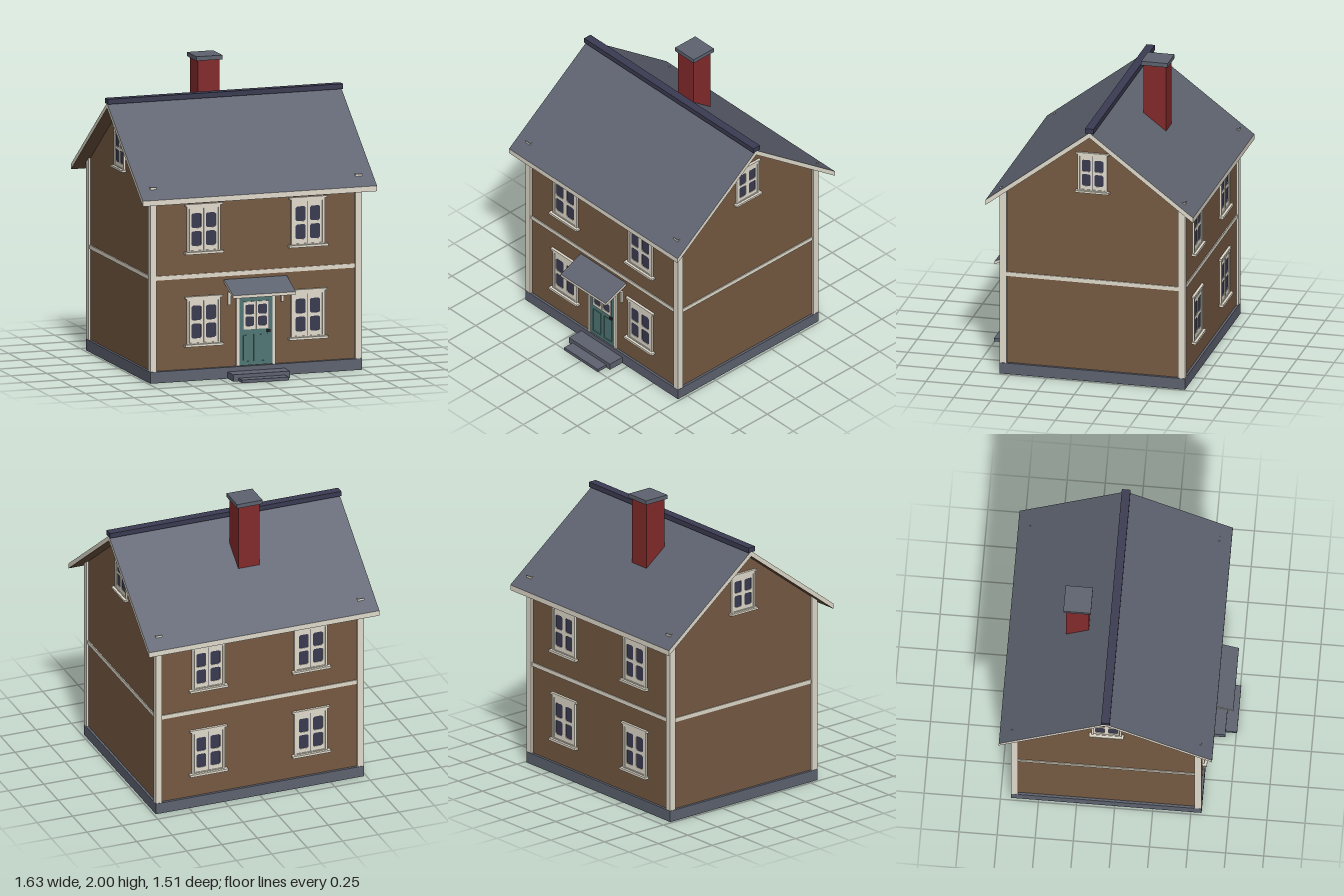
import * as THREE from 'three';

const mat = (name, color) => new THREE.MeshStandardMaterial({ name, color });

export function createModel() {
  const brown = mat('brown cladding', 0x765a42);
  const cream = mat('cream trim', 0xe2dccd);
  const slate = mat('slate grey', 0x5e6370);
  slate.side = THREE.DoubleSide;
  const navy = mat('dark navy', 0x3b3b52);
  const teal = mat('teal door', 0x4f7774);
  const red = mat('red brick', 0x842a2b);
  const dark = mat('dark metal', 0x2a2422);

  const model = new THREE.Group();
  model.name = 'house';
  // The house body is centred slightly behind the origin, the steps reach forward
  const body = new THREE.Group();
  body.name = 'houseBody';
  body.position.z = -0.055;
  model.add(body);

  const add = (parent, name, geo, material, x = 0, y = 0, z = 0) => {
    const m = new THREE.Mesh(geo, material);
    m.name = name;
    m.position.set(x, y, z);
    parent.add(m);
    return m;
  };
  const box = (parent, name, material, w, h, d, x, y, z) =>
    add(parent, name, new THREE.BoxGeometry(w, h, d), material, x, y, z);

  // Box without one face (2 = top, 3 = bottom)
  const openBox = (w, h, d, face) => {
    const g = new THREE.BoxGeometry(w, h, d);
    const index = Array.from(g.index.array);
    index.splice(face * 6, 6);
    g.setIndex(index);
    g.clearGroups();
    return g;
  };

  // Sheared slab: back edge at z = 0 and y = 0, front edge lowered by drop
  const slab = (w, t, d, drop) => {
    const g = new THREE.BoxGeometry(w, t, d).translate(0, -t / 2, d / 2);
    const p = g.attributes.position;
    for (let i = 0; i < p.count; i++) p.setY(i, p.getY(i) - drop * p.getZ(i) / d);
    g.computeVertexNormals();
    return g;
  };

  // Flat plate with holes given as [cx, cy, w, h, corner cut]
  const plate = (w, h, depth, holes) => {
    const rect = (Type, cx, cy, rw, rh, c) => {
      const a = rw / 2, b = rh / 2;
      const pts = c
        ? [[-a + c, -b], [a - c, -b], [a, -b + c], [a, b - c], [a - c, b], [-a + c, b], [-a, b - c], [-a, -b + c]]
        : [[-a, -b], [a, -b], [a, b], [-a, b]];
      return new Type(pts.map(([x, y]) => new THREE.Vector2(cx + x, cy + y)));
    };
    const s = rect(THREE.Shape, 0, 0, w, h, 0);
    s.holes = holes.map(q => rect(THREE.Path, ...q));
    return new THREE.ExtrudeGeometry(s, { depth, bevelEnabled: false });
  };

  // Pair of two-pane casements over a dark glass plate
  const casements = (parent, w, h, z) => {
    box(parent, 'glass', navy, w, h, 0.004, 0, 0, z + 0.002);
    const lw = w / 2 - 0.003;
    const pw = lw * 0.72, ph = h * 0.35, c = pw * 0.14;
    for (const s of [-1, 1]) {
      add(parent, 'casement', plate(lw, h, 0.005, [
        [0, h * 0.214, pw, ph, c], [0, -h * 0.214, pw, ph, c],
      ]), cream, s * w / 4, 0, z + 0.003);
    }
  };

  // Full window with casing, lintel and sill; faces +z, origin on the wall
  const addWindow = (x, y, z, turn, scaleX = 1, scaleY = 1) => {
    const g = new THREE.Group();
    g.name = 'window';
    casements(g, 0.2, 0.28, 0);
    for (const s of [-1, 1]) box(g, 'windowCasing', cream, 0.015, 0.3, 0.013, s * 0.109, 0, 0.0065);
    box(g, 'topCasing', cream, 0.233, 0.016, 0.013, 0, 0.149, 0.0065);
    box(g, 'lintel', cream, 0.262, 0.014, 0.018, 0, 0.164, 0.009);
    box(g, 'bottomCasing', cream, 0.233, 0.008, 0.013, 0, -0.143, 0.0065);
    box(g, 'sill', cream, 0.268, 0.016, 0.03, 0, -0.154, 0.015);
    g.position.set(x, y, z);
    g.rotation.y = turn;
    g.scale.set(scaleX, scaleY, 1);
    body.add(g);
  };

  // Foundation skirt, open below, and walls with gables
  add(body, 'foundation', openBox(1.47, 0.0755, 1.25, 3), slate, 0, 0.03775, 0);
  const slope = 0.53 / 0.7, wz = 0.61, wx = 0.72;
  const profile = new THREE.Shape([
    [-wz, 0.077], [wz, 0.077], [wz, 1.747 - slope * wz], [0, 1.747], [-wz, 1.747 - slope * wz],
  ].map(([x, y]) => new THREE.Vector2(x, y)));
  const wallGeo = new THREE.ExtrudeGeometry(profile, { depth: 2 * wx, bevelEnabled: false });
  add(body, 'walls', wallGeo.translate(0, 0, -wx).rotateY(-Math.PI / 2), brown);

  // Corner boards, open on top, and the belt between the floors
  for (const sx of [-1, 1]) for (const sz of [-1, 1])
    add(body, 'cornerBoard', openBox(0.045, 1.228, 0.045, 2), cream, sx * 0.7125, 0.691, sz * 0.6025);
  box(body, 'beltBoard', cream, 1.453, 0.028, 1.233, 0, 0.695, 0);

  // Roof slopes: slate top, brown underside, cream edges
  for (const turn of [0, Math.PI]) {
    const r = add(body, 'roofSlope', slab(1.626, 0.036, 0.7, 0.53),
      [cream, cream, slate, brown, cream, cream], 0, 1.763, 0);
    r.rotation.y = turn;
  }
  box(body, 'ridgeCap', navy, 1.634, 0.034, 0.057, 0, 1.775, 0);

  // Chimney
  box(body, 'chimney', red, 0.15, 0.52, 0.152, -0.047, 1.715, -0.242);
  box(body, 'chimneyCap', slate, 0.18, 0.028, 0.18, -0.047, 1.986, -0.243);

  // Windows on the long walls and in both gables
  for (const sx of [-1, 1]) {
    for (const y of [0.39, 1.005]) {
      addWindow(sx * 0.362, y, wz, 0);
      addWindow(sx * 0.362, y, -wz, Math.PI);
    }
    addWindow(sx * wx, 1.45, 0, sx * Math.PI / 2, 0.85, 0.83);
  }

  // Front door with frame, glazing, sunk panels and handle
  const door = new THREE.Group();
  door.name = 'frontDoor';
  door.position.z = wz;
  body.add(door);
  box(door, 'doorBack', teal, 0.23, 0.45, 0.004, 0, 0.305, 0.002);
  add(door, 'doorLeaf', plate(0.23, 0.45, 0.009, [
    [-0.053, -0.11, 0.078, 0.18, 0], [0.053, -0.11, 0.078, 0.18, 0],
  ]), teal, 0, 0.305, 0);
  for (const s of [-1, 1]) {
    box(door, 'doorPanel', teal, 0.066, 0.168, 0.008, s * 0.053, 0.195, 0.004);
    box(door, 'doorFrame', cream, 0.02, 0.48, 0.014, s * 0.125, 0.318, 0.007);
    box(door, 'canopyBracket', cream, 0.018, 0.085, 0.015, s * 0.185, 0.531, 0.0075);
  }
  box(door, 'doorHead', cream, 0.28, 0.034, 0.014, 0, 0.547, 0.007);
  const doorWindow = new THREE.Group();
  doorWindow.name = 'doorWindow';
  doorWindow.position.set(0, 0.411, 0.008);
  door.add(doorWindow);
  casements(doorWindow, 0.178, 0.185, 0);
  box(door, 'doorHandle', dark, 0.022, 0.02, 0.012, 0.087, 0.302, 0.013);

  // Canopy over the door
  add(door, 'canopy', slab(0.436, 0.02, 0.185, 0.078),
    [cream, cream, slate, cream, cream, cream], 0, 0.66, -0.005);

  // Entrance steps, open below
  add(model, 'upperStep', openBox(0.395, 0.045, 0.11, 3), slate, 0, 0.0225, 0.625);
  add(model, 'lowerStep', openBox(0.325, 0.021, 0.185, 3), slate, 0, 0.0105, 0.6625);

  return model;
}
